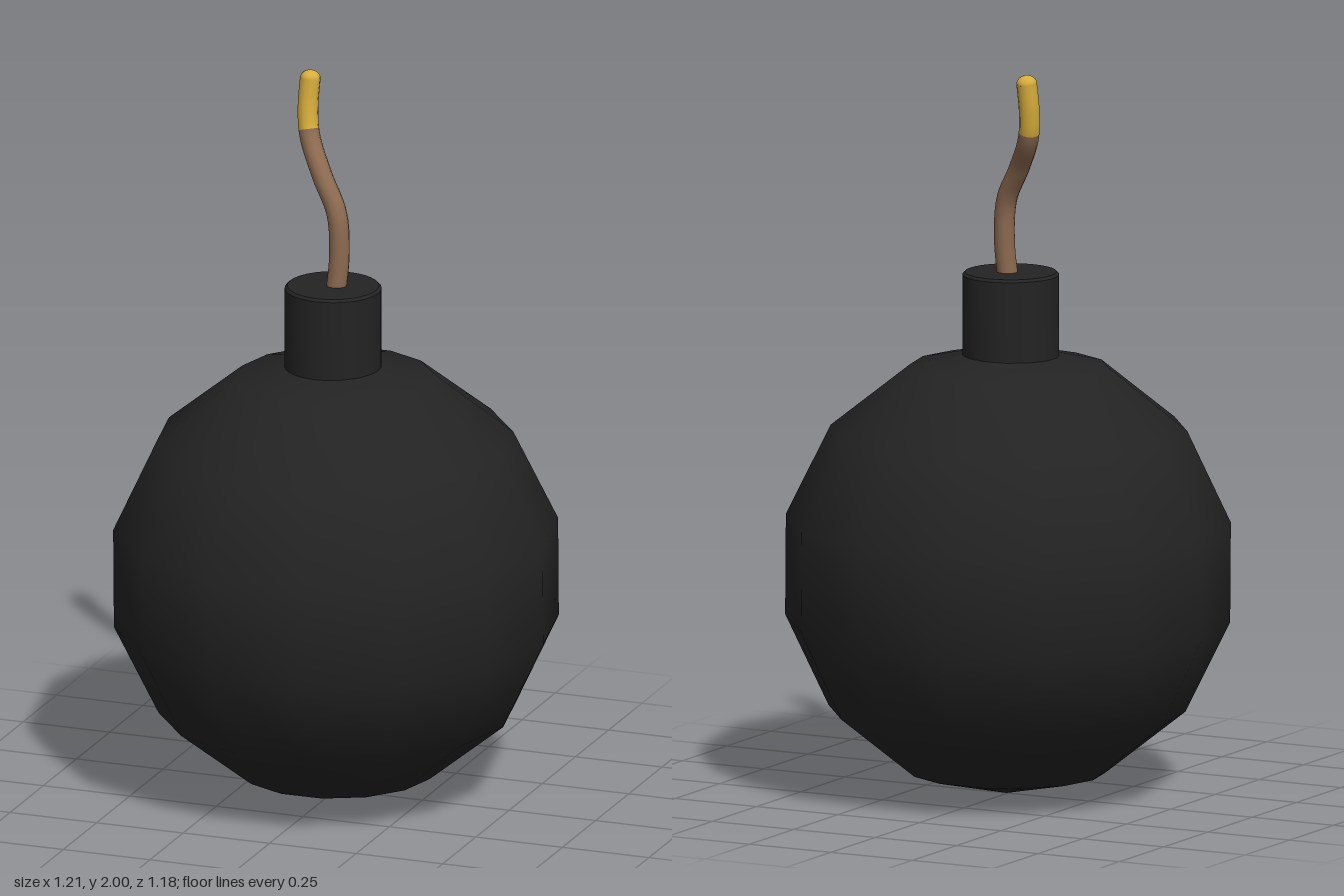
import * as THREE from 'three';
import { toCreasedNormals } from 'three/addons/utils/BufferGeometryUtils.js';

const material = (name, color) => {
  const m = new THREE.MeshStandardMaterial({ color });
  m.name = name;
  return m;
};

export function createModel() {
  const iron = material('blackIron', 0x232323);
  const cord = material('brownCord', 0x8c6a50);
  const gold = material('goldTip', 0xd8ae3c);

  const group = new THREE.Group();
  group.name = 'roundBomb';
  const add = (name, geometry, mat, x = 0, y = 0, z = 0) => {
    const mesh = new THREE.Mesh(geometry, mat);
    mesh.name = name;
    mesh.position.set(x, y, z);
    group.add(mesh);
    return mesh;
  };

  // Body: coarse sphere with smooth shading, turned very slightly
  const body = add('body', new THREE.SphereGeometry(0.617, 14, 7), iron, 0, 0.621, 0);
  body.rotation.set(0, -0.015, 0.008);

  // Neck: short cylinder with a fine bevel on its rim
  const neckProfile = [[0, 1.1], [0.131, 1.1], [0.131, 1.428], [0.124, 1.435], [0, 1.435]]
    .map(([r, y]) => new THREE.Vector2(r, y));
  const neck = new THREE.LatheGeometry(neckProfile, 32);
  add('neck', toCreasedNormals(neck, 0.6), iron, -0.007, 0, 0.003);

  // Fuse: one bent tube, brown below and gold at the upper end
  const path = new THREE.CatmullRomCurve3([
    [-0.003, 1.4, -0.002], [0.007, 1.52, -0.007], [-0.003, 1.635, -0.013],
    [-0.055, 1.73, -0.038], [-0.108, 1.825, -0.083], [-0.118, 1.9, -0.097],
    [-0.115, 1.978, -0.106],
  ].map((p) => new THREE.Vector3(...p)));
  const segments = 40;
  const sides = 12;
  const radius = 0.028;
  const fuse = new THREE.TubeGeometry(path, segments, radius, sides);
  let split = 0;
  while (path.getPointAt(split / segments).y < 1.835) split++;
  fuse.addGroup(0, split * sides * 6, 0);
  fuse.addGroup(split * sides * 6, (segments - split) * sides * 6, 1);
  add('fuse', fuse, [cord, gold]);

  // Rounded end closing the fuse
  const end = path.getPointAt(1);
  const cap = add('fuseEnd', new THREE.SphereGeometry(radius, sides, 6, 0, Math.PI * 2, 0, Math.PI / 2),
    gold, end.x, end.y, end.z);
  cap.quaternion.setFromUnitVectors(new THREE.Vector3(0, 1, 0), path.getTangentAt(1));
  cap.scale.y = 0.8;

  return group;
}
